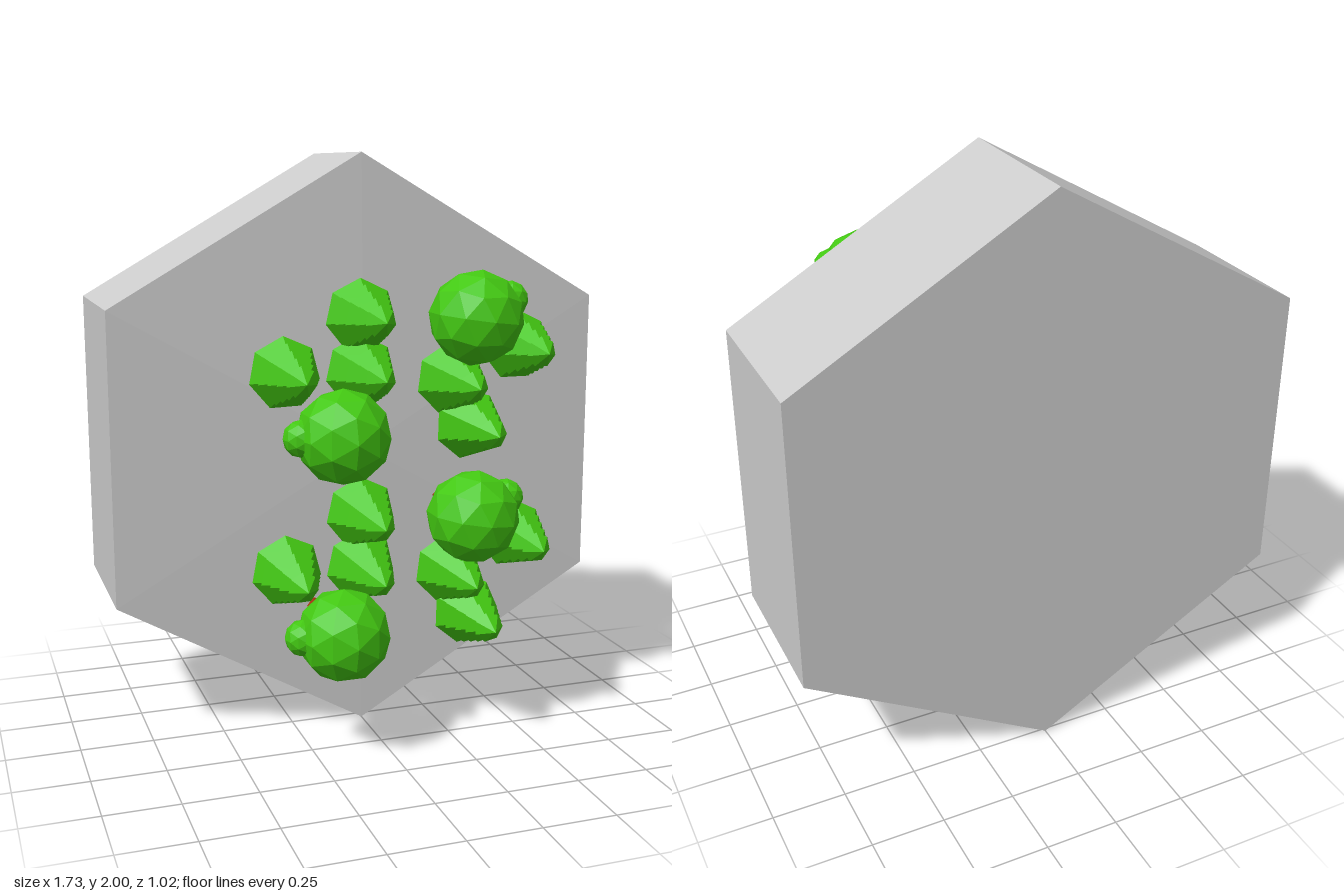
import * as THREE from 'three';

const mat = (color) => new THREE.MeshStandardMaterial({ color, flatShading: true });
const grey = mat(0xcccccc);
const leaf = mat(0x43c812);
const bark = mat(0xa33511);

function part(name, geometry, material, x = 0, y = 0, z = 0) {
  const mesh = new THREE.Mesh(geometry, material);
  mesh.name = name;
  mesh.position.set(x, y, z);
  return mesh;
}

// Slightly crooked five-sided trunk growing along +z
function trunkGeometry() {
  const curve = new THREE.CatmullRomCurve3([
    new THREE.Vector3(0, -0.01, 0.02),
    new THREE.Vector3(0.008, 0.004, 0.09),
    new THREE.Vector3(-0.006, -0.004, 0.15),
    new THREE.Vector3(0, 0, 0.23),
  ]);
  return new THREE.TubeGeometry(curve, 4, 0.03, 5, false);
}

// Seven-sided stacked tiers, tip pointing to +z
function tierGeometry() {
  const tiers = 5, step = 0.05;
  const profile = [new THREE.Vector2(0, 0)];
  for (let i = 0; i < tiers; i++) {
    const r = 0.122 - 0.0175 * i;
    const last = i === tiers - 1;
    profile.push(new THREE.Vector2(r, i * step));
    profile.push(new THREE.Vector2(last ? 0 : r - 0.042, last ? 0.26 : (i + 1) * step));
  }
  return new THREE.LatheGeometry(profile, 7).rotateX(Math.PI / 2).rotateZ(Math.PI);
}

const trunk = trunkGeometry();
const tierCrown = tierGeometry();
const roundCrown = new THREE.IcosahedronGeometry(0.157, 1);
const sideCrown = new THREE.IcosahedronGeometry(0.062, 1);

function pineTree(x, y, turn) {
  const tree = new THREE.Group();
  tree.name = 'pineTree';
  tree.add(part('trunk', trunk, bark), part('tieredCrown', tierCrown, leaf, 0, 0, 0.2));
  tree.position.set(x, y, 0);
  tree.rotation.z = turn;
  return tree;
}

function roundTree(x, y, turn) {
  const tree = new THREE.Group();
  tree.name = 'roundTree';
  tree.add(
    part('trunk', trunk, bark),
    part('crown', roundCrown, leaf, 0, 0, 0.355),
    part('sideCrown', sideCrown, leaf, 0.135, 0, 0.34),
  );
  tree.position.set(x, y, 0);
  tree.rotation.z = turn;
  return tree;
}

// One cluster of six pines and two round trees
function grove(offsetY) {
  const group = new THREE.Group();
  group.name = 'grove';
  const pines = [
    [-0.06, 1.475, 0], [-0.32, 1.295, 0.03], [-0.06, 1.29, 0],
    [0.5, 1.355, 0], [0.26, 1.25, 0.1], [0.33, 1.09, 0.2],
  ];
  for (const [x, y, turn] of pines) group.add(pineTree(x, y, turn));
  group.add(roundTree(0.285, 1.47, 0.42), roundTree(-0.17, 1.105, Math.PI));
  group.position.y = offsetY;
  return group;
}

export function createModel() {
  const model = new THREE.Group();
  model.name = 'hexTileWithTrees';

  // Hexagonal block with a shallow raised front face
  const back = -0.512, rim = 0.035, peak = 0.058;
  const block = new THREE.CylinderGeometry(1, 1, rim - back, 6).rotateX(Math.PI / 2);
  model.add(part('hexBlock', block, grey, 0, 1, (rim + back) / 2));
  const face = new THREE.ConeGeometry(1, peak - rim, 6, 1, true).rotateX(Math.PI / 2);
  model.add(part('raisedFace', face, grey, 0, 1, (rim + peak) / 2));

  for (const offset of [0, -0.665]) model.add(grove(offset));
  return model;
}
